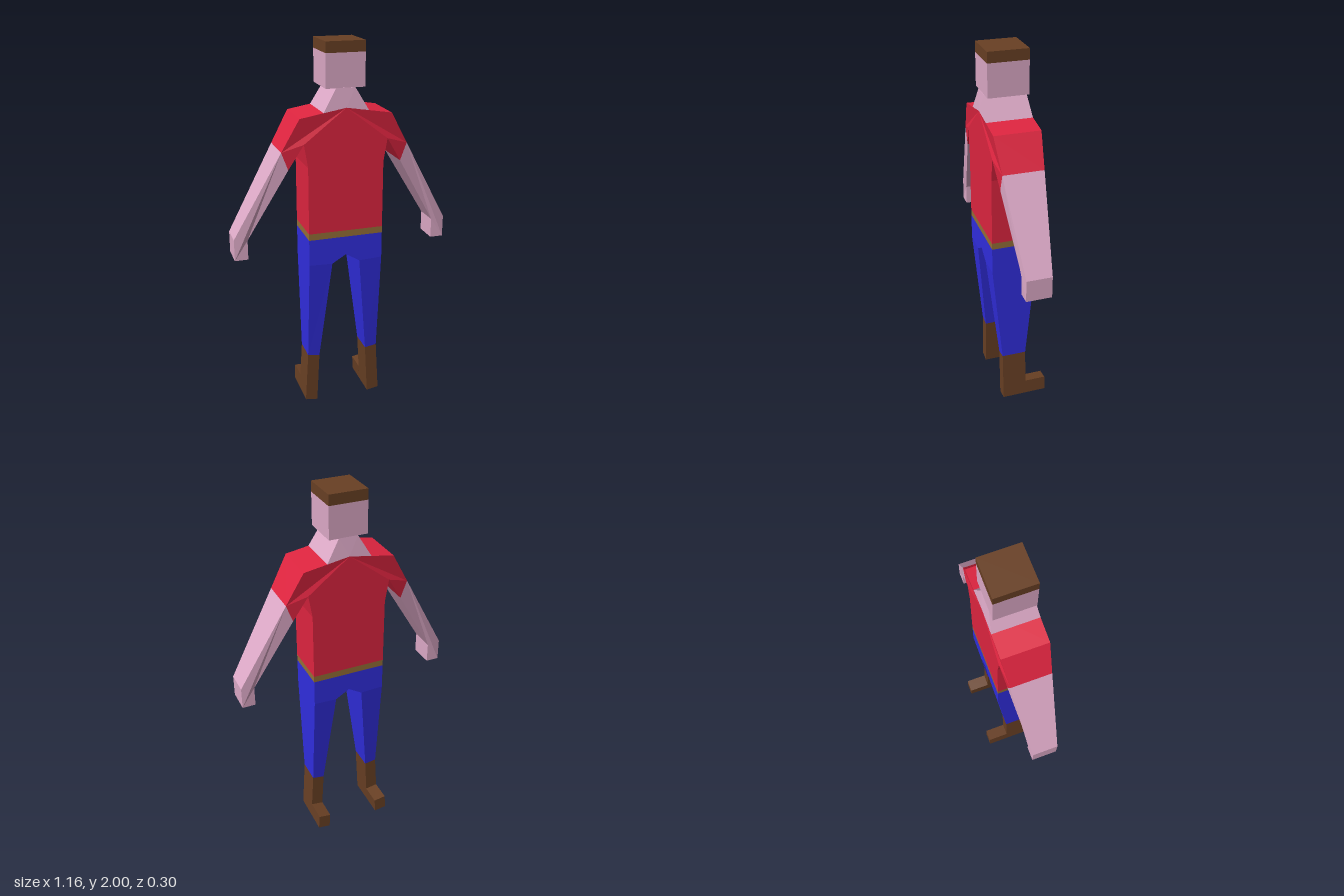
import * as THREE from 'three';

const mat = (name, color) => {
  const m = new THREE.MeshStandardMaterial({ color, flatShading: true });
  m.name = name;
  return m;
};

// Solid from a front outline; each point is [x, y, zBack, zFront]
function prism(outline) {
  const pts = outline.slice();
  let flat = pts.map(p => new THREE.Vector2(p[0], p[1]));
  if (THREE.ShapeUtils.isClockWise(flat)) {
    pts.reverse();
    flat.reverse();
  }
  const pos = [];
  const back = p => pos.push(p[0], p[1], p[2]);
  const front = p => pos.push(p[0], p[1], p[3]);
  for (const [a, b, c] of THREE.ShapeUtils.triangulateShape(flat, [])) {
    [a, b, c].forEach(i => front(pts[i]));
    [a, c, b].forEach(i => back(pts[i]));
  }
  pts.forEach((a, i) => {
    const b = pts[(i + 1) % pts.length];
    back(a); back(b); front(b);
    back(a); front(b); front(a);
  });
  const g = new THREE.BufferGeometry();
  g.setAttribute('position', new THREE.Float32BufferAttribute(pos, 3));
  g.computeVertexNormals();
  return g;
}

const mirror = pts => pts.map(([x, ...rest]) => [-x, ...rest]);
// Closes a half outline (centre line to centre line) with its mirror image
const symmetric = half => [...half, ...mirror(half).reverse().filter(p => p[0] !== 0)];
const depth = (pts, zBack, zFront) => pts.map(([x, y]) => [x, y, zBack, zFront]);

export function createModel() {
  const model = new THREE.Group();
  const skin = mat('skin', 0xdeaac8);
  const red = mat('shirt red', 0xe02540);
  const blue = mat('trouser blue', 0x312ee0);
  const brown = mat('leather brown', 0x694024);
  const tan = mat('belt tan', 0x967038);

  const add = (name, material, pts) => {
    const m = new THREE.Mesh(prism(pts), material);
    m.name = name;
    model.add(m);
  };
  const addPair = (name, material, pts) => {
    add('left' + name, material, pts);
    add('right' + name, material, mirror(pts));
  };

  // Body depth, wrist and ankle depth, and depth at the sleeve end
  const B = [-0.09, 0.15], L = [-0.037, 0.096], S = [-0.076, 0.135];
  const cuffOut = [0.332, 1.475, ...S], cuffIn = [0.298, 1.383, ...S];

  // Head and hair
  const box = (w, y0, y1) => symmetric([[w, y0], [w, y1]]);
  add('head', skin, depth(box(0.102, 1.775, 1.945), -0.075, 0.135));
  add('hair', brown, depth(box(0.102, 1.945, 2), -0.075, 0.135));
  add('neck', skin, symmetric([
    [0, 1.68, ...B], [0.118, 1.66, ...B], [0.05, 1.776, -0.075, 0.137],
  ]));

  // Shirt with both sleeves
  add('shirt', red, symmetric([
    [0, 1.035, ...B], [0.2, 1.035, ...B], [0.2, 1.39, ...B], [0.22, 1.51, ...B],
    cuffIn, cuffOut, [0.24, 1.64, ...B], [0, 1.68, ...B],
  ]));

  // Arms and hands
  addPair('Arm', skin, [
    cuffIn, cuffOut, [0.58, 1.03, ...L], [0.58, 0.915, ...L],
    [0.51, 0.915, ...L], [0.51, 1.02, ...L],
  ]);

  // Belt and trousers
  add('belt', tan, depth(box(0.2, 1, 1.035), ...B));
  add('hips', blue, depth(symmetric([
    [0, 0.9], [0.075, 0.855], [0.2, 0.86], [0.2, 1],
  ]), ...B));
  addPair('TrouserLeg', blue, [
    [0.075, 0.855, ...B], [0.2, 0.86, ...B], [0.2, 0.295, ...L], [0.135, 0.285, ...L],
  ]);

  // Boots with toes
  addPair('Boot', brown, depth([
    [0.135, 0.285], [0.2, 0.295], [0.217, 0.01], [0.15, 0],
  ], ...L));
  addPair('BootToe', brown, depth([
    [0.145, 0.083], [0.212, 0.093], [0.217, 0.01], [0.15, 0],
  ], -0.153, L[0]));

  return model;
}
